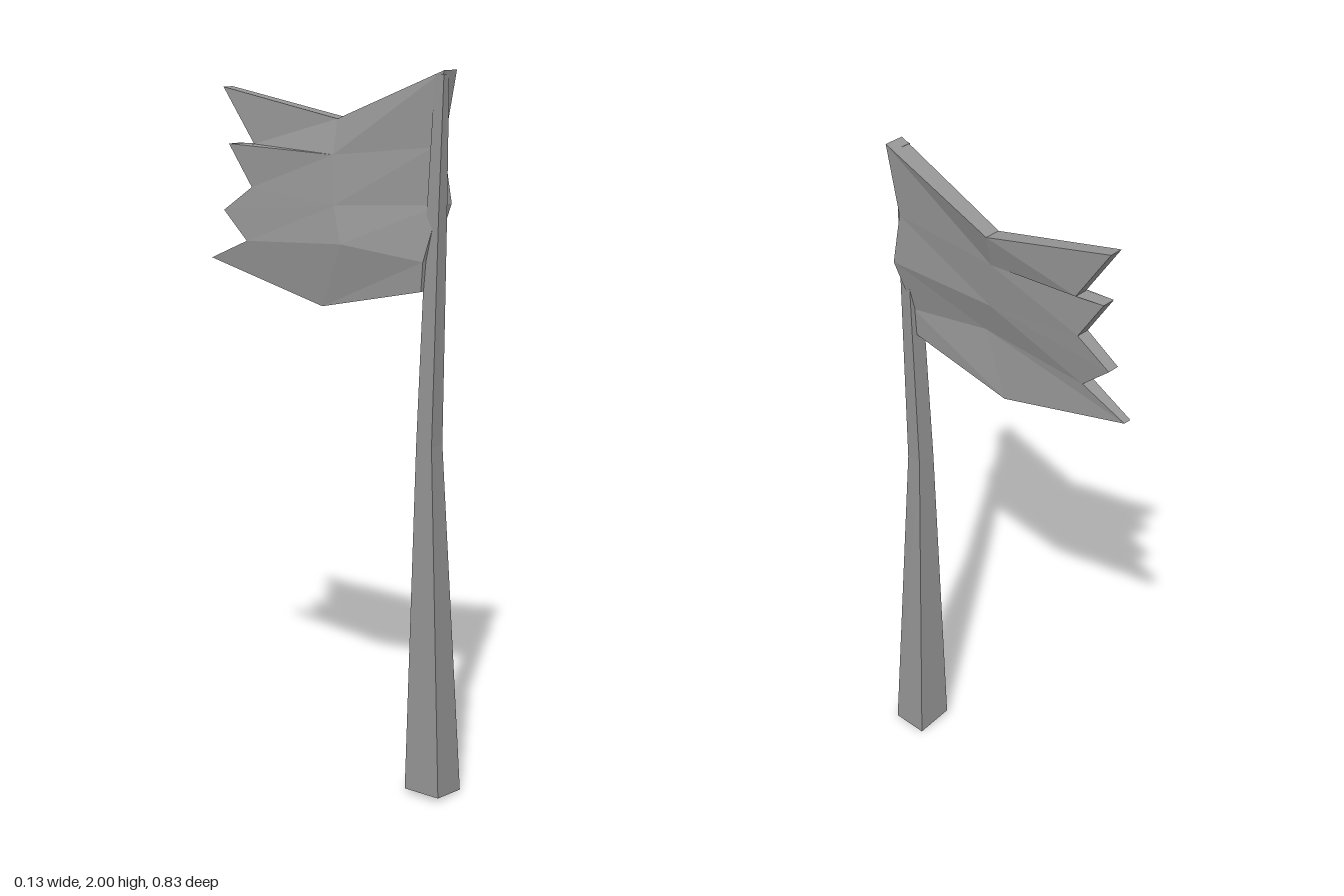
import * as THREE from 'three';

const material = new THREE.MeshStandardMaterial({ color: 0x959595, flatShading: true });

function meshFrom(name, tris) {
  const geometry = new THREE.BufferGeometry();
  geometry.setAttribute('position', new THREE.Float32BufferAttribute(tris.flat(2), 3));
  geometry.computeVertexNormals();
  const mesh = new THREE.Mesh(geometry, material);
  mesh.name = name;
  return mesh;
}

const quad = (a, b, c, d) => [[a, b, c], [a, c, d]];

// Square pole, lofted through tapering rings: [y, xMin, xMax, zMin, zMax]
function makePole() {
  const skew = 0.004; // the square section is turned slightly
  const rings = [
    [0, -0.06, 0.056, 0.302, 0.417],
    [1, -0.043, 0.015, 0.318, 0.371],
    [1.62, -0.028, 0.018, 0.334, 0.375],
    [1.99, -0.012, 0.018, 0.345, 0.376],
  ].map(([y, x0, x1, z0, z1], i) => {
    const tilt = i === 0 ? 0.013 : 0; // foot is cut slightly askew
    return [[x0, y + tilt, z1], [x1, y, z1 - skew], [x1 + skew, y, z0], [x0 + skew, y + tilt, z0]];
  });
  const tris = [];
  for (let r = 0; r < rings.length - 1; r++) {
    for (let k = 0; k < 4; k++) {
      const n = (k + 1) % 4;
      tris.push(...quad(rings[r][k], rings[r][n], rings[r + 1][n], rings[r + 1][k]));
    }
  }
  const [a, b, c, d] = rings[0];
  tris.push(...quad(d, c, b, a), ...quad(...rings[rings.length - 1]));
  return meshFrom('pole', tris);
}

// Rippled, thick cloth with four torn points: each point is [z, y, centre x, half thickness]
function makeFlag() {
  const lead = [
    [0.373, 2.0, 0.023, 0.03], [0.342, 1.8, 0.016, 0.026], [0.368, 1.65, 0.014, 0.03],
    [0.336, 1.5, -0.018, 0.024], [0.33, 1.42, -0.019, 0.022],
  ];
  const mid = [
    [0.01, 1.86, 0.039, 0.024], [0.02, 1.765, 0.008, 0.026], [0.04, 1.63, -0.012, 0.03],
    [0.08, 1.53, -0.038, 0.027], [0.0, 1.35, -0.018, 0.022],
  ];
  const tips = [
    [-0.373, 1.935, 0.01, 0.02], [-0.345, 1.778, -0.002, 0.02],
    [-0.365, 1.59, -0.005, 0.018], [-0.413, 1.45, -0.01, 0.012],
  ];
  const notches = [
    tips[0], [-0.265, 1.78, 0.012, 0.02], [-0.265, 1.66, 0.0, 0.02],
    [-0.27, 1.51, -0.018, 0.02], tips[3],
  ];

  const side = (p, s) => [p[2] + s * p[3], p[1], p[0]];
  const tris = [];
  const addFace = (a, b, c) => {
    if (a === b || b === c || a === c) return;
    tris.push([side(a, 1), side(b, 1), side(c, 1)], [side(c, -1), side(b, -1), side(a, -1)]);
  };

  // Both faces, one strip per torn point
  for (let i = 0; i < 4; i++) {
    addFace(lead[i], lead[i + 1], mid[i + 1]);
    addFace(lead[i], mid[i + 1], mid[i]);
    addFace(mid[i], mid[i + 1], notches[i + 1]);
    addFace(mid[i], notches[i + 1], tips[i]);
    addFace(mid[i], tips[i], notches[i]);
  }

  // Rim around the outline
  const outline = [...lead, mid[4], tips[3], notches[3], tips[2], notches[2], tips[1], notches[1], tips[0], mid[0]];
  outline.forEach((a, i) => {
    const b = outline[(i + 1) % outline.length];
    tris.push(...quad(side(a, 1), side(a, -1), side(b, -1), side(b, 1)));
  });
  return meshFrom('flag', tris);
}

export function createModel() {
  const group = new THREE.Group();
  group.name = 'tornFlagOnPole';
  group.add(makePole(), makeFlag());
  return group;
}
